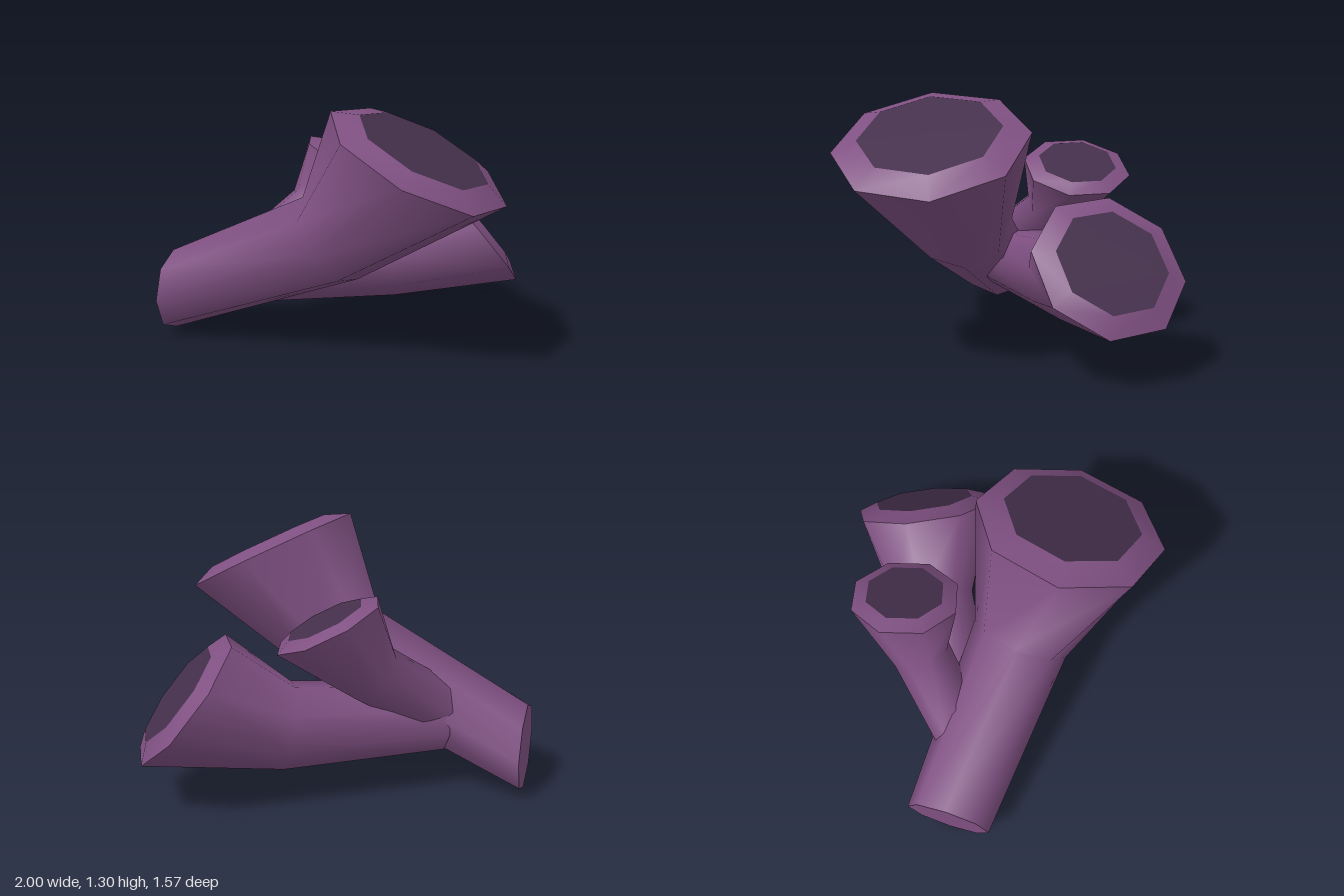
import * as THREE from 'three';

const SIDES = 8;
const V = (a) => new THREE.Vector3(...a);

const skin = new THREE.MeshStandardMaterial({ color: 0x7f5082, side: THREE.DoubleSide });
const dark = new THREE.MeshStandardMaterial({ color: 0x452f4c, side: THREE.DoubleSide });

// Octagonal ring of points around a centre, first corner towards ref
function ring(center, normal, radius, ref) {
  const n = normal.clone().normalize();
  const u = ref.clone().addScaledVector(n, -ref.dot(n)).normalize();
  const v = new THREE.Vector3().crossVectors(n, u);
  return Array.from({ length: SIDES }, (_, j) => {
    const a = (j / SIDES) * Math.PI * 2;
    return center.clone()
      .addScaledVector(u, Math.cos(a) * radius)
      .addScaledVector(v, Math.sin(a) * radius);
  });
}

// Smooth skin through a list of rings
function loft(rings) {
  const index = [];
  for (let i = 0; i < rings.length - 1; i++) {
    for (let j = 0; j < SIDES; j++) {
      const k = (j + 1) % SIDES;
      const a = i * SIDES + j, b = i * SIDES + k;
      index.push(a, b, b + SIDES, a, b + SIDES, a + SIDES);
    }
  }
  const geo = new THREE.BufferGeometry().setFromPoints(rings.flat());
  geo.setIndex(index);
  geo.computeVertexNormals();
  return geo;
}

// Flat octagon filling a ring
function disc(points, flip) {
  const index = [];
  for (let j = 1; j < SIDES - 1; j++) index.push(0, flip ? j + 1 : j, flip ? j : j + 1);
  const geo = new THREE.BufferGeometry().setFromPoints(points);
  geo.setIndex(index);
  geo.computeVertexNormals();
  return geo;
}

// One flared tube: root, bend and mouth, with a sloping rim around a dark opening
function flaredTube(name, { root, bend, mouth, radii, rootNormal, mouthNormal, ref }) {
  const [p0, p1, p2] = [root, bend, mouth].map(V);
  const d0 = p1.clone().sub(p0).normalize();
  const d1 = p2.clone().sub(p1).normalize();
  const n2 = V(mouthNormal).normalize();
  const r = V(ref);
  const rootRing = ring(p0, rootNormal ? V(rootNormal) : d0, radii[0], r);
  const bendRing = ring(p1, d0.clone().add(d1), radii[1], r);
  const mouthRing = ring(p2, n2, radii[2], r);
  const innerRing = ring(p2.clone().addScaledVector(n2, radii[2] * 0.11), n2, radii[2] * 0.725, r);

  const group = new THREE.Group();
  group.name = name;
  const add = (part, geo, mat) => {
    const mesh = new THREE.Mesh(geo, mat);
    mesh.name = part;
    group.add(mesh);
  };
  add('tubeWall', loft([rootRing, bendRing, mouthRing]), skin);
  add('rootCap', disc(rootRing, true), skin);
  add('rim', loft([mouthRing, innerRing]), skin);
  add('opening', disc(innerRing, false), dark);
  return group;
}

export function createModel() {
  const model = new THREE.Group();
  model.name = 'tubeCluster';
  model.add(
    // Large tube that carries the other two, cut upright at its root
    flaredTube('mainTube', {
      root: [-0.92, 0.225, -0.385], bend: [-0.075, 0.62, 0.05], mouth: [0.335, 1.084, 0.32],
      radii: [0.225, 0.255, 0.48],
      rootNormal: [0.93, 0, 0.37], mouthNormal: [0.41, 0.89, 0.22], ref: [0.115, 0, -0.46],
    }),
    // Low branch spreading to the side
    flaredTube('sideBranch', {
      root: [-0.5, 0.36, -0.27], bend: [0.27, 0.38, -0.4], mouth: [0.76, 0.534, -0.421],
      radii: [0.175, 0.22, 0.38],
      mouthNormal: [0.77, 0.63, -0.06], ref: [0.04, -0.085, -0.37],
    }),
    // Small upright branch at the back
    flaredTube('backBranch', {
      root: [-0.5, 0.4, -0.28], bend: [-0.14, 0.66, -0.46], mouth: [0.075, 0.916, -0.515],
      radii: [0.145, 0.15, 0.277],
      mouthNormal: [0.44, 0.895, 0.06], ref: [-0.075, 0.055, -0.265],
    }),
  );
  return model;
}
